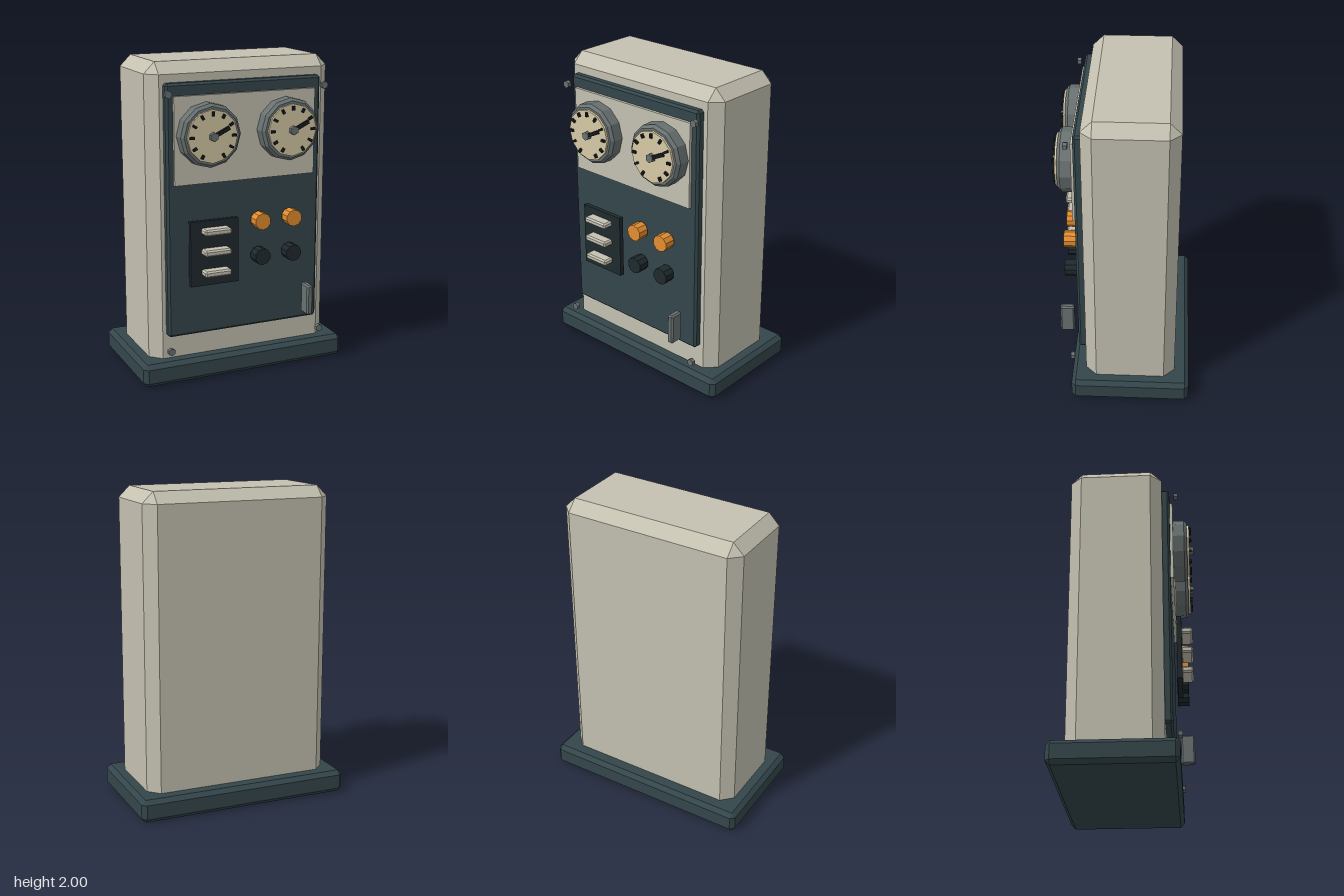
import * as THREE from 'three';
import { ConvexGeometry } from 'three/addons/geometries/ConvexGeometry.js';

const mat = (color) => new THREE.MeshStandardMaterial({ color, flatShading: true });

export function createModel() {
  const model = new THREE.Group();
  model.name = 'pressureCabinet';

  const shell = mat(0xc4c1b1), teal = mat(0x34464b), dark = mat(0x1f292d);
  const steel = mat(0x697171), cream = mat(0xd6c9a5), orange = mat(0xe38d2f), ink = mat(0x15191b);

  const add = (name, geometry, material, parent = model) => {
    const mesh = new THREE.Mesh(geometry, material);
    mesh.name = name;
    parent.add(mesh);
    return mesh;
  };

  // Box given by its limits, with every edge chamfered by b
  const chamferBox = (name, [x0, x1], [y0, y1], [z0, z1], b, material) => {
    const h = [(x1 - x0) / 2, (y1 - y0) / 2, (z1 - z0) / 2];
    const points = [];
    for (const sx of [-1, 1]) for (const sy of [-1, 1]) for (const sz of [-1, 1])
      for (let axis = 0; axis < 3; axis++) {
        const p = h.map((v, i) => (i === axis ? v : v - b));
        points.push(new THREE.Vector3(p[0] * sx, p[1] * sy, p[2] * sz));
      }
    const mesh = add(name, new ConvexGeometry(points), material);
    mesh.position.set((x0 + x1) / 2, (y0 + y1) / 2, (z0 + z1) / 2);
    return mesh;
  };

  // Plain box given by its limits
  const box = (name, [x0, x1], [y0, y1], [z0, z1], material, parent) => {
    const mesh = add(name, new THREE.BoxGeometry(x1 - x0, y1 - y0, z1 - z0), material, parent);
    mesh.position.set((x0 + x1) / 2, (y0 + y1) / 2, (z0 + z1) / 2);
    return mesh;
  };

  // Many-sided disc facing +z between z0 and z1
  const disc = (name, x, y, z0, z1, r, sides, material, parent) => {
    const geometry = new THREE.CylinderGeometry(r, r, z1 - z0, sides).rotateX(Math.PI / 2);
    const mesh = add(name, geometry, material, parent);
    mesh.position.set(x, y, (z0 + z1) / 2);
    return mesh;
  };

  // Plinth, cabinet and front panel
  chamferBox('base', [-0.695, 0.695], [0, 0.145], [-0.43, 0.325], 0.027, teal);
  chamferBox('cabinet', [-0.612, 0.612], [0.02, 2], [-0.337, 0.238], 0.07, shell);
  chamferBox('frontPanel', [-0.518, 0.514], [0.295, 1.88], [0.2, 0.285], 0.014, teal);
  box('gaugePlate', [-0.474, 0.466], [1.265, 1.805], [0.28, 0.303], shell);

  // Two dial gauges
  const makeGauge = (name, x) => {
    const gauge = new THREE.Group();
    gauge.name = name;
    gauge.position.set(x, 1.57, 0);
    model.add(gauge);

    const profile = [[0, 0.298], [0.195, 0.298], [0.195, 0.372], [0.178, 0.39], [0, 0.39]]
      .map(([r, z]) => new THREE.Vector2(r, z));
    add('bezel', new THREE.LatheGeometry(profile, 12).rotateX(Math.PI / 2), steel, gauge);
    disc('dialFace', 0, 0, 0.38, 0.404, 0.163, 12, cream, gauge);

    // Eleven marks, leaving the bottom open
    for (let i = 0; i < 11; i++) {
      const a = THREE.MathUtils.degToRad(-60 + i * 30);
      const tick = add('tick', new THREE.BoxGeometry(0.027, 0.015, 0.016), ink, gauge);
      tick.position.set(0.136 * Math.cos(a), 0.136 * Math.sin(a), 0.41);
      tick.rotation.z = a;
    }
    const needle = add('needle', new THREE.BoxGeometry(0.125, 0.024, 0.014).translate(0.05, 0, 0), ink, gauge);
    needle.position.z = 0.417;
    needle.rotation.z = 0.45;
    disc('needleHub', 0, 0, 0.404, 0.43, 0.028, 6, steel, gauge);
  };
  makeGauge('rightGauge', -0.267);
  makeGauge('leftGauge', 0.263);

  // Switch plate with three bar switches
  box('switchPlate', [-0.39, -0.072], [0.628, 1.04], [0.312, 0.342], dark);
  for (const y of [0.978, 0.848, 0.715])
    chamferBox('barSwitch', [-0.32, -0.143], [y - 0.02, y + 0.02], [0.335, 0.41], 0.01, shell);

  // Two rows of knobs
  for (const x of [0.082, 0.298]) {
    disc('upperKnob', x, 1.003, 0.303, 0.377, 0.053, 10, orange);
    disc('lowerKnob', x, 0.775, 0.303, 0.377, 0.053, 10, dark);
  }

  // Door handle
  chamferBox('doorHandle', [0.386, 0.429], [0.35, 0.55], [0.316, 0.407], 0.01, steel);

  // Corner bolts
  for (const x of [-0.519, 0.517])
    for (const y of [0.22, 1.823])
      disc('cornerBolt', x, y, 0.312, 0.338, 0.024, 6, steel);

  return model;
}
